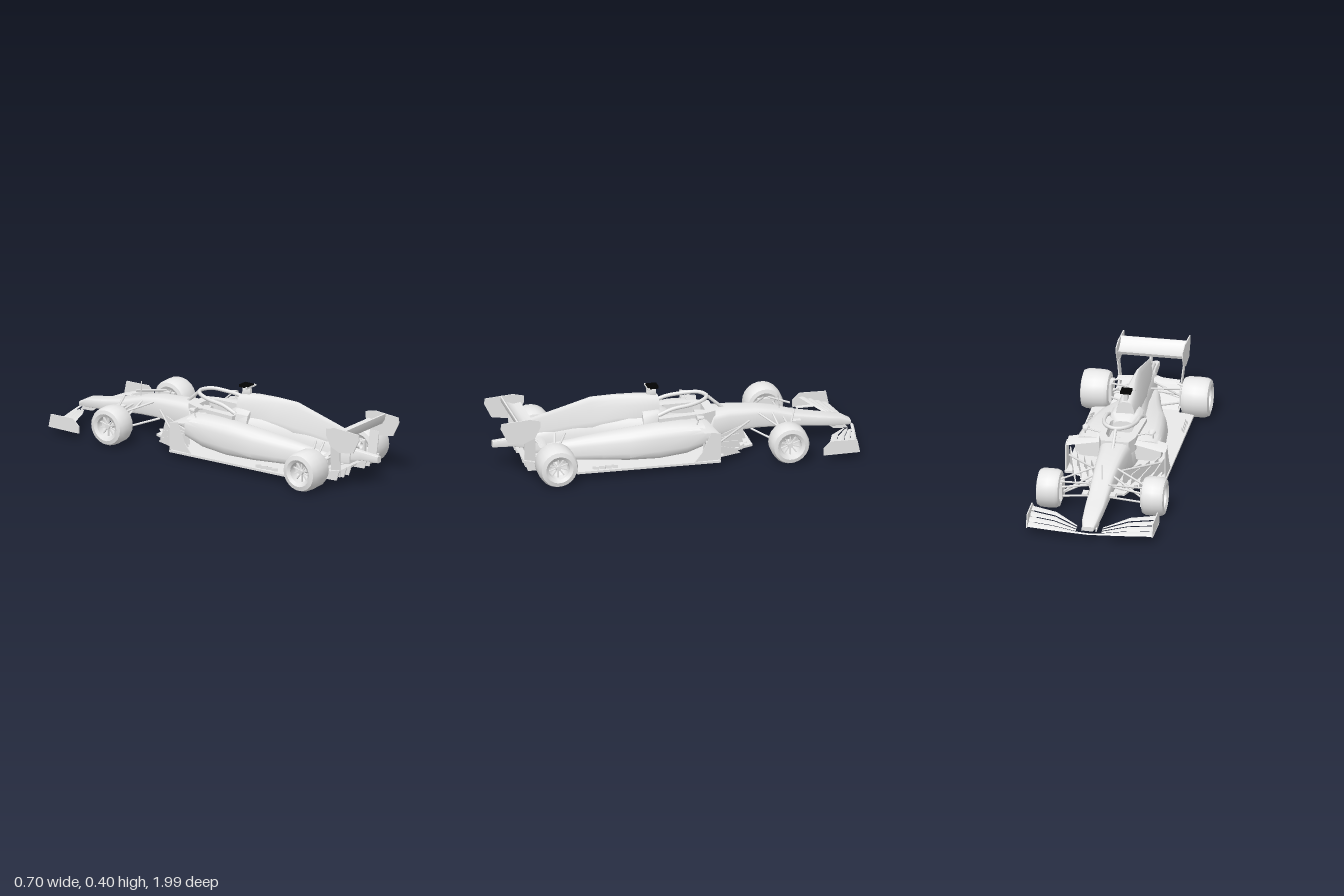
import * as THREE from 'three';
import { toCreasedNormals } from 'three/addons/utils/BufferGeometryUtils.js';

const V = (x, y, z) => new THREE.Vector3(x, y, z);
const paint = new THREE.MeshStandardMaterial({ color: 0xefefef, side: THREE.DoubleSide });
paint.name = 'light grey paint';
const black = new THREE.MeshStandardMaterial({ color: 0x030303 });
black.name = 'black';

function add(parent, name, geo, mat = paint) {
  const m = new THREE.Mesh(geo, mat);
  m.name = name;
  parent.add(m);
  return m;
}

// Skin a list of closed rings, with flat end caps
function skin(rings, crease = 0.6) {
  const n = rings[0].length, pos = [], idx = [];
  rings.forEach(r => r.forEach(p => pos.push(p.x, p.y, p.z)));
  for (let r = 0; r < rings.length - 1; r++) for (let i = 0; i < n; i++) {
    const a = r * n + i, b = r * n + (i + 1) % n;
    idx.push(a, b, a + n, b, b + n, a + n);
  }
  const e = (rings.length - 1) * n;
  for (let i = 1; i < n - 1; i++) idx.push(0, i + 1, i, e, e + i, e + i + 1);
  const g = new THREE.BufferGeometry();
  g.setAttribute('position', new THREE.Float32BufferAttribute(pos, 3));
  g.setIndex(idx);
  return toCreasedNormals(g, crease);
}

// Body lofted along z; rows are [z, centreX, halfWidth, bottom, top, topTaper]
function body(rows, n = 16, power = 0.6) {
  const f = v => Math.sign(v) * Math.pow(Math.abs(v), power);
  return skin(rows.map(([z, cx, hw, y0, y1, taper = 0.8]) =>
    Array.from({ length: n }, (_, i) => {
      const a = (i + 0.5) / n * Math.PI * 2, s = f(Math.sin(a));
      const k = THREE.MathUtils.lerp(1, taper, (s + 1) / 2);
      return V(cx + hw * k * f(Math.cos(a)), (y0 + y1) / 2 + s * (y1 - y0) / 2, z);
    })));
}

// Wing blade lofted along x; stations are [x, leadZ, leadY, trailZ, trailY]
function blade(stations, t = 0.005) {
  return skin(stations.map(([x, zl, yl, zt, yt]) => [
    V(x, yl + (yt - yl) * 0.3 + t, zl + (zt - zl) * 0.35), V(x, yt, zt),
    V(x, yl + (yt - yl) * 0.3 - t, zl + (zt - zl) * 0.35), V(x, yl, zl)]));
}

const polygon = pts => new THREE.Shape(pts.map(p => new THREE.Vector2(...p)));
// Upright plate from [z, y] points, centred on x
function upright(pts, x, t = 0.006) {
  return new THREE.ExtrudeGeometry(polygon(pts), { depth: t, bevelEnabled: false })
    .rotateY(-Math.PI / 2).translate(x + t / 2, 0, 0);
}
// Level plate from [x, z] points with its top at y
function level(pts, y, t, hole) {
  const s = polygon(pts);
  if (hole) s.holes.push(new THREE.Path(hole.map(p => new THREE.Vector2(...p))));
  return new THREE.ExtrudeGeometry(s, { depth: t, bevelEnabled: false }).rotateX(Math.PI / 2).translate(0, y, 0);
}
const mirrored = pts => [...pts, ...pts.slice().reverse().map(([x, z]) => [-x, z])];
const box = (w, h, d, x, y, z) => new THREE.BoxGeometry(w, h, d).translate(x, y, z);

function rod(parent, name, a, b, r = 0.005) {
  const m = add(parent, name, new THREE.CylinderGeometry(r, r, a.distanceTo(b), 6));
  m.position.copy(a).lerp(b, 0.5);
  m.quaternion.setFromUnitVectors(V(0, 1, 0), b.clone().sub(a).normalize());
}

// Tyre, dished rim and spokes; the outer face points to +x
function wheel(name, r, hw) {
  const g = new THREE.Group();
  g.name = name;
  const lathe = pts => toCreasedNormals(new THREE.LatheGeometry(
    pts.map(p => new THREE.Vector2(...p)), 22).rotateZ(-Math.PI / 2), 0.6);
  add(g, 'tyre', lathe([[0.058, -hw * 0.85], [0.075, -hw], [r * 0.9, -hw * 0.92], [r * 0.98, -hw * 0.65], [r, 0],
    [r * 0.98, hw * 0.65], [r * 0.9, hw * 0.92], [0.075, hw], [0.058, hw * 0.85]]));
  add(g, 'rim', lathe([[0.058, -hw * 0.85], [0.056, -hw * 0.3], [0.02, 0], [0.054, hw * 0.3], [0.058, hw * 0.85]]));
  add(g, 'hub', new THREE.CylinderGeometry(0.014, 0.018, hw * 0.9, 10).rotateZ(-Math.PI / 2).translate(hw * 0.25, 0, 0));
  for (let i = 0; i < 10; i++)
    add(g, 'spoke', box(0.008, 0.045, 0.006, hw * 0.5, 0.034, 0)).rotation.x = i * Math.PI / 5;
  return g;
}

// Everything that repeats on both sides, modelled on the +x side
function buildSide() {
  const s = new THREE.Group();
  const front = wheel('frontWheel', 0.106, 0.063);
  front.position.set(0.285, 0.115, -0.572);
  const rear = wheel('rearWheel', 0.109, 0.077);
  rear.position.set(0.273, 0.113, 0.706);
  s.add(front, rear);

  // Front and rear suspension arms
  [[0.05, 0.2, -0.66, 0.23, 0.165, -0.59], [0.06, 0.205, -0.46, 0.23, 0.165, -0.56],
    [0.045, 0.12, -0.64, 0.23, 0.08, -0.59], [0.06, 0.12, -0.42, 0.23, 0.08, -0.56],
    [0.055, 0.195, -0.54, 0.23, 0.09, -0.575], [0.05, 0.165, -0.6, 0.23, 0.14, -0.61],
    [0.04, 0.19, 0.6, 0.21, 0.16, 0.69], [0.04, 0.18, 0.78, 0.21, 0.16, 0.72],
    [0.05, 0.11, 0.55, 0.21, 0.085, 0.69], [0.04, 0.1, 0.78, 0.21, 0.085, 0.72],
    [0.05, 0.2, 0.66, 0.21, 0.1, 0.7], [0.03, 0.13, 0.71, 0.22, 0.114, 0.706]
  ].forEach(p => rod(s, 'suspensionArm', V(p[0], p[1], p[2]), V(p[3], p[4], p[5]), 0.006));
  add(s, 'frontBrakeDuct', box(0.02, 0.1, 0.09, 0.222, 0.114, -0.572));
  add(s, 'rearBrakeDuct', box(0.02, 0.1, 0.1, 0.195, 0.114, 0.706));
  add(s, 'noseCamera', box(0.03, 0.012, 0.05, 0.075, 0.145, -0.665));

  // Front wing: one main plane with three flaps above
  const st = [[0, -1, 0.058, -0.93, 0.062], [0.07, -0.99, 0.056, -0.915, 0.068],
    [0.2, -0.968, 0.052, -0.83, 0.098], [0.338, -0.945, 0.05, -0.78, 0.1]];
  for (let i = 0; i < 4; i++) {
    const a = i / 4, b = a + 0.245, mix = THREE.MathUtils.lerp;
    add(s, 'frontWingFlap', blade(st.slice(i ? 1 : 0).map(([x, z0, y0, z1, y1]) =>
      [x, mix(z0, z1, a), mix(y0, y1, a) + i * 0.002, mix(z0, z1, b), mix(y0, y1, b)]), 0.004));
  }
  add(s, 'frontWingEndplate', upright([[-0.95, 0.045], [-0.75, 0.045], [-0.75, 0.085], [-0.79, 0.122], [-0.935, 0.118]], 0.341));
  add(s, 'frontWingFootplate', box(0.03, 0.005, 0.17, 0.33, 0.047, -0.85));
  add(s, 'frontWingPylon', upright([[-0.96, 0.06], [-0.88, 0.065], [-0.82, 0.11], [-0.92, 0.11]], 0.038));

  // Sidepod tucking in toward the tail
  add(s, 'sidepod', body([[-0.13, 0.15, 0.085, 0.11, 0.225, 1], [-0.03, 0.145, 0.085, 0.07, 0.235, 0.95],
    [0.12, 0.135, 0.085, 0.05, 0.23, 0.85], [0.28, 0.115, 0.088, 0.05, 0.21, 0.75], [0.42, 0.085, 0.073, 0.05, 0.185, 0.7],
    [0.56, 0.06, 0.055, 0.05, 0.16, 0.7], [0.7, 0.04, 0.04, 0.05, 0.14, 0.7]]));
  // Turning vanes ahead of and beside the sidepod
  add(s, 'sidepodVane', upright([[-0.2, 0.05], [-0.06, 0.05], [-0.1, 0.1], [-0.15, 0.21], [-0.2, 0.2]], 0.27));
  add(s, 'sidepodWinglet', blade([[0.08, -0.16, 0.215, -0.07, 0.235], [0.27, -0.2, 0.195, -0.11, 0.21]]));
  for (let i = 0; i < 4; i++) {
    const v = add(s, 'bargeBoard', upright([[-0.13, 0.045], [0.11, 0.045], [0.1, 0.11 + i * 0.012], [-0.1, 0.15 - i * 0.025]], 0, 0.005));
    v.position.set(0.105 + i * 0.042, 0, -0.27 + i * 0.022);
    v.rotation.y = 0.3;
  }
  for (let i = 0; i < 3; i++)
    add(s, 'bargeBoardSlat', blade([[0.08, -0.41 + i * 0.07, 0.07, -0.36 + i * 0.07, 0.075],
      [0.17 + i * 0.04, -0.32 + i * 0.05, 0.06, -0.27 + i * 0.05, 0.07]], 0.003));
  rod(s, 'bargeBoardStrut', V(0.07, 0.17, -0.41), V(0.25, 0.14, -0.2), 0.006);

  // Mirror
  add(s, 'mirror', body([[-0.13, 0.18, 0.012, 0.258, 0.27], [-0.09, 0.18, 0.022, 0.253, 0.277]], 12));
  rod(s, 'mirrorStay', V(0.09, 0.245, -0.11), V(0.17, 0.262, -0.11), 0.004);
  rod(s, 'mirrorStay', V(0.185, 0.225, -0.09), V(0.185, 0.255, -0.1), 0.004);

  // Rear wing side plates, diffuser fences and floor fins
  add(s, 'rearWingEndplate', upright([[0.99, 0.31], [0.985, 0.34], [0.83, 0.35], [0.77, 0.335], [0.77, 0.3], [0.8, 0.24], [0.86, 0.215], [0.95, 0.23]], 0.18));
  const lower = add(s, 'rearWingLowerPlate', upright([[0.79, 0], [0.85, 0], [0.86, 0.17], [0.8, 0.17]], 0));
  lower.position.set(0.16, 0.07, 0);
  lower.rotation.z = -0.11;
  for (const x of [0.07, 0.115, 0.18])
    add(s, 'diffuserFence', upright([[0.64, 0.045], [0.84, 0.055], [0.86, 0.115], [0.8, 0.1]], x, 0.005));
  for (let i = 0; i < 4; i++) {
    const fin = add(s, 'floorFin', box(0.004, 0.018, 0.035, 0, 0, 0));
    fin.position.set(0.257, 0.065, 0.38 + i * 0.035);
    fin.rotation.y = -0.5;
  }
  return s;
}

export function createModel() {
  const car = new THREE.Group();
  car.name = 'openWheelRaceCar';
  const left = buildSide(), right = left.clone();
  left.name = 'leftSide';
  right.name = 'rightSide';
  right.scale.x = -1;
  car.add(left, right);

  // Nose and tub
  add(car, 'noseAndTub', body([[-0.98, 0, 0.03, 0.07, 0.095, 0.95], [-0.93, 0, 0.045, 0.072, 0.122, 0.95], [-0.8, 0, 0.054, 0.085, 0.145, 0.95],
    [-0.67, 0, 0.06, 0.1, 0.172, 0.9], [-0.55, 0, 0.066, 0.11, 0.21, 0.9], [-0.45, 0, 0.073, 0.115, 0.228, 0.9],
    [-0.3, 0, 0.085, 0.11, 0.238, 0.85], [-0.21, 0, 0.1, 0.09, 0.24], [-0.19, 0, 0.105, 0.08, 0.19], [0.1, 0, 0.12, 0.05, 0.19]], 16, 0.45));
  add(car, 'cockpitRim', level(mirrored([[0.075, -0.22], [0.1, -0.15], [0.115, 0.1]]), 0.25, 0.075,
    mirrored([[0.045, -0.17], [0.065, -0.13], [0.07, 0.03], [0.05, 0.06]])));
  add(car, 'headrest', body([[0.03, 0, 0.06, 0.19, 0.255], [0.09, 0, 0.1, 0.19, 0.285], [0.18, 0, 0.11, 0.19, 0.285, 0.7]], 12));
  rod(car, 'steeringColumn', V(0, 0.21, -0.19), V(0, 0.215, -0.12), 0.02);

  // Halo
  const arch = new THREE.CatmullRomCurve3([V(0.09, 0.26, 0.1), V(0.09, 0.29, 0.02), V(0.085, 0.302, -0.08), V(0.055, 0.312, -0.16),
    V(0, 0.312, -0.19), V(-0.055, 0.312, -0.16), V(-0.085, 0.302, -0.08), V(-0.09, 0.29, 0.02), V(-0.09, 0.26, 0.1)]);
  add(car, 'halo', new THREE.TubeGeometry(arch, 32, 0.011, 8));
  rod(car, 'haloPost', V(0, 0.312, -0.19), V(0, 0.23, -0.28), 0.009);
  rod(car, 'airSpeedProbe', V(0, 0.19, -0.59), V(0, 0.28, -0.585), 0.003);

  // Engine cover, with its spine and tail
  add(car, 'engineCover', body([[0.06, 0, 0.12, 0.05, 0.25], [0.25, 0, 0.12, 0.05, 0.265, 0.6], [0.45, 0, 0.085, 0.05, 0.25, 0.5],
    [0.65, 0, 0.06, 0.06, 0.22, 0.5], [0.82, 0, 0.04, 0.08, 0.19]]));
  add(car, 'airboxAndSpine', body([[0.08, 0, 0.065, 0.2, 0.345, 0.6], [0.18, 0, 0.075, 0.2, 0.362, 0.5],
    [0.32, 0, 0.07, 0.2, 0.37, 0.3], [0.45, 0, 0.06, 0.18, 0.37, 0.2], [0.56, 0, 0.045, 0.18, 0.34, 0.2],
    [0.68, 0, 0.035, 0.17, 0.308, 0.2], [0.78, 0, 0.02, 0.17, 0.28, 0.3]]));
  add(car, 'crashStructure', body([[0.78, 0, 0.035, 0.11, 0.19], [0.88, 0, 0.02, 0.13, 0.18], [0.99, 0, 0.016, 0.135, 0.172, 1]], 12, 0.4));
  add(car, 'exhaust', new THREE.CylinderGeometry(0.017, 0.017, 0.1, 14, 1, true).rotateX(Math.PI / 2).translate(0, 0.208, 0.82));

  // Roof camera: black pod with a grey bar behind it
  add(car, 'cameraStem', body([[0.09, 0, 0.014, 0.34, 0.39, 0.6], [0.14, 0, 0.012, 0.34, 0.39, 0.6]], 8));
  add(car, 'cameraBar', box(0.088, 0.009, 0.012, 0, 0.3935, 0.137));
  add(car, 'camera', box(0.058, 0.013, 0.06, 0, 0.3965, 0.11), black);

  // Floor, plank and diffuser, with a slight nose-down rake
  const floor = new THREE.Group();
  floor.name = 'floor';
  floor.rotation.x = -0.018;
  car.add(floor);
  add(floor, 'floorPanel', level(mirrored([[0.06, -0.42], [0.09, -0.42], [0.17, -0.2], [0.277, -0.2], [0.277, 0.59], [0.19, 0.61], [0.185, 0.7]]), 0.049, 0.012));
  add(floor, 'plank', box(0.1, 0.014, 1.12, 0, 0.034, 0.14));
  add(car, 'diffuser', blade([[-0.18, 0.6, 0.052, 0.86, 0.115], [0.18, 0.6, 0.052, 0.86, 0.115]], 0.006));

  // Rear wing: one deep curved section sweeping up at the trailing edge
  const section = [[0.79, 0.302], [0.83, 0.296], [0.865, 0.31], [0.885, 0.33], [0.895, 0.348],
    [0.902, 0.346], [0.898, 0.315], [0.88, 0.288], [0.84, 0.276], [0.8, 0.283]];
  add(car, 'rearWing', skin([-0.18, 0.18].map(x => section.map(([z, y]) => V(x, y, z))), 0.9));
  add(car, 'rearWingPylon', upright([[0.79, 0.17], [0.83, 0.17], [0.85, 0.28], [0.81, 0.29]], 0, 0.01));
  add(car, 'beamWing', blade([[-0.17, 0.73, 0.165, 0.77, 0.175], [0, 0.71, 0.175, 0.77, 0.185], [0.17, 0.73, 0.165, 0.77, 0.175]], 0.004));
  return car;
}
